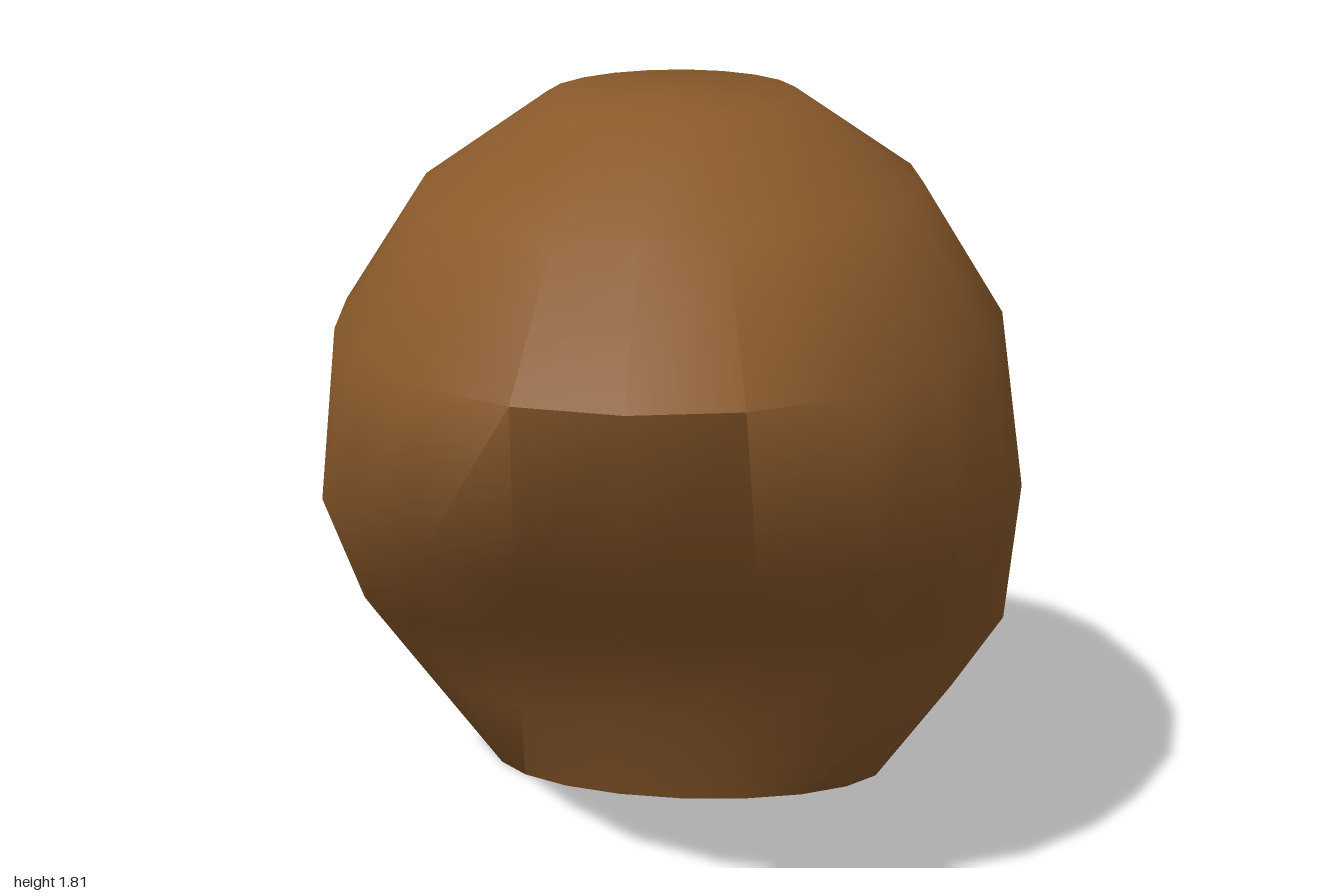
import * as THREE from 'three';
import { toCreasedNormals } from 'three/addons/utils/BufferGeometryUtils.js';

const SIDES = 20;

// Horizontal sections: height, half width, z of widest point, front z, back z
const SECTIONS = [
  [0.0, 0.51, -0.5, -0.225, -0.82],
  [0.26, 0.67, -0.4, -0.11, -0.89],
  [0.52, 0.785, -0.2, 0.05, -0.95],
  [0.925, 0.805, 0.03, 0.85, -1.0],
  [1.335, 0.745, 0.05, 1.0, -0.9],
  [1.62, 0.56, 0.01, 0.73, -0.71],
  [1.81, 0.28, 0.01, 0.39, -0.365],
];

// Joins the half-ellipse sections into one closed shell
function loftShell() {
  const positions = [];
  const indices = [];
  for (const [y, halfWidth, mid, front, back] of SECTIONS) {
    for (let j = 0; j < SIDES; j++) {
      const a = (j / SIDES) * Math.PI * 2;
      const c = Math.cos(a);
      positions.push(halfWidth * Math.sin(a), y, mid + c * (c > 0 ? front - mid : mid - back));
    }
  }
  const top = SECTIONS.length - 1;
  const bottomCentre = positions.length / 3;
  positions.push(0, 0, -0.52, 0, SECTIONS[top][0], 0.01);
  for (let j = 0; j < SIDES; j++) {
    const k = (j + 1) % SIDES;
    for (let i = 0; i < top; i++) {
      const a = i * SIDES + j, b = i * SIDES + k;
      indices.push(a, b, b + SIDES, a, b + SIDES, a + SIDES);
    }
    indices.push(bottomCentre, k, j);
    indices.push(bottomCentre + 1, top * SIDES + j, top * SIDES + k);
  }
  const geometry = new THREE.BufferGeometry();
  geometry.setAttribute('position', new THREE.Float32BufferAttribute(positions, 3));
  geometry.setIndex(indices);
  // Keep the fringe edge and the base edge sharp
  return toCreasedNormals(geometry, THREE.MathUtils.degToRad(60));
}

export function createModel() {
  const group = new THREE.Group();
  group.name = 'hairpiece';
  const brown = new THREE.MeshStandardMaterial({ color: 0x8b5a2b });
  brown.name = 'hair brown';

  // Rounded hair with overhanging fringe and narrowed nape
  const hair = new THREE.Mesh(loftShell(), brown);
  hair.name = 'hair';
  group.add(hair);
  return group;
}
